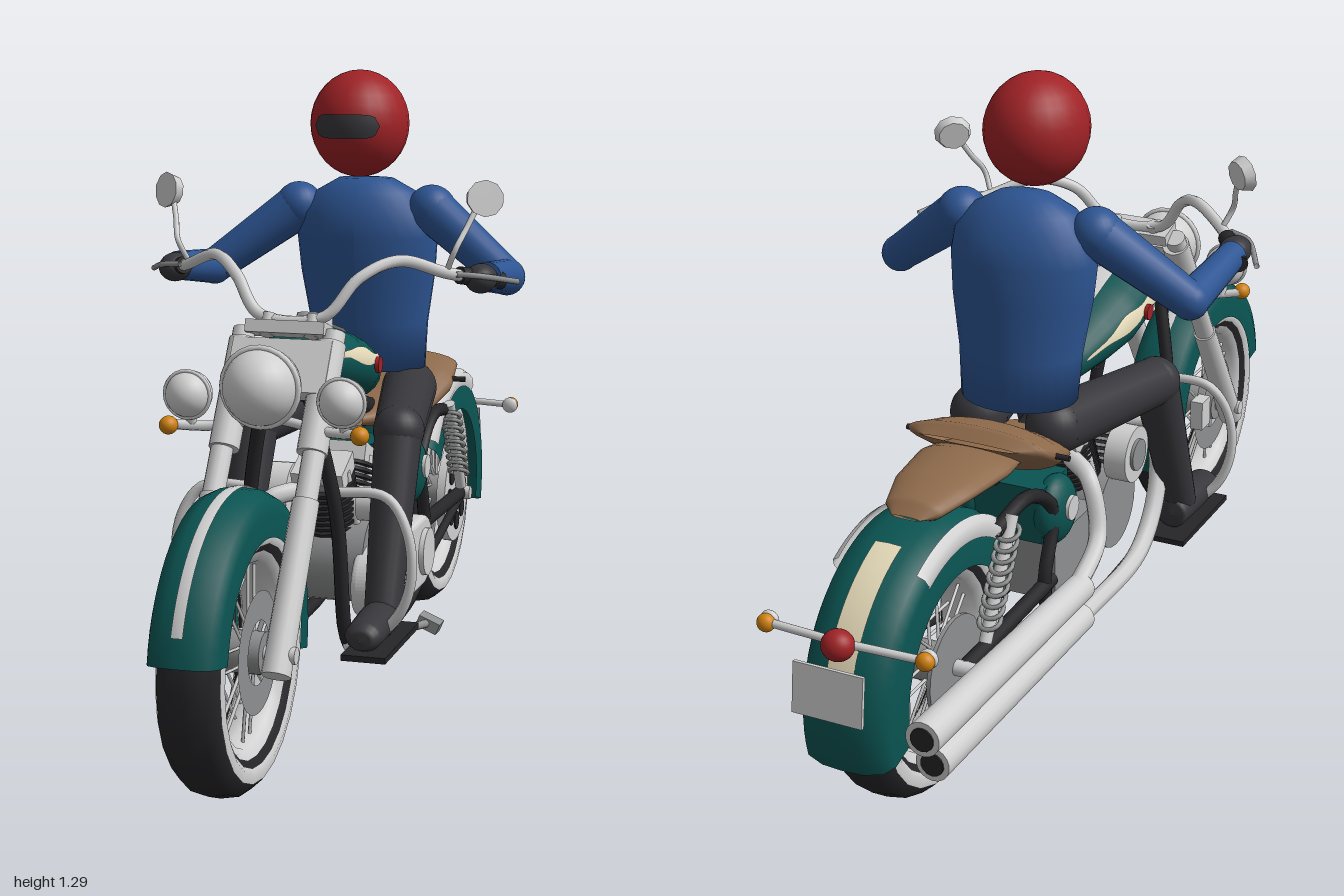
import * as THREE from 'three';
import { mergeVertices } from 'three/addons/utils/BufferGeometryUtils.js';

const V = (x, y, z) => new THREE.Vector3(x, y, z);
const mat = (name, color) => {
  const m = new THREE.MeshStandardMaterial({ color, side: THREE.DoubleSide });
  m.name = name;
  return m;
};

export function createModel() {
  const root = new THREE.Group();
  root.name = 'motorcycleWithRider';
  const teal = mat('tealPaint', 0x0a5452), red = mat('red', 0xa02226), blue = mat('blueJacket', 0x2d5593),
    dark = mat('darkCloth', 0x37363b), black = mat('black', 0x262629), chrome = mat('chrome', 0xd0d0d0),
    cream = mat('cream', 0xe4d9b8), brown = mat('brownLeather', 0x8e6a4b), amber = mat('amber', 0xd08210),
    grey = mat('greyMetal', 0x8e8f90);

  // ---- helpers ----
  const add = (name, geo, m, x = 0, y = 0, z = 0, rx = 0, ry = 0, rz = 0) => {
    const mesh = new THREE.Mesh(geo, m);
    mesh.name = name;
    mesh.position.set(x, y, z);
    mesh.rotation.set(rx, ry, rz);
    root.add(mesh);
    return mesh;
  };
  const both = (fn) => [1, -1].forEach(fn);
  const box = (n, m, sx, sy, sz, ...p) => add(n, new THREE.BoxGeometry(sx, sy, sz), m, ...p);
  const ball = (n, m, rx, ry, rz, x, y, z) => {
    const s = add(n, new THREE.SphereGeometry(1, 24, 16), m, x, y, z);
    s.scale.set(rx, ry, rz);
    return s;
  };
  // round disc whose axis runs along x
  const disc = (n, m, r, w, x, y, z, seg = 24) =>
    add(n, new THREE.CylinderGeometry(r, r, w, seg), m, x, y, z, 0, 0, Math.PI / 2);
  // tapered rod between two points
  const rod = (n, m, a, b, r1, r2 = r1, seg = 14) => {
    const d = b.clone().sub(a), mid = a.clone().add(b).multiplyScalar(0.5);
    const s = add(n, new THREE.CylinderGeometry(r2, r1, d.length(), seg), m, mid.x, mid.y, mid.z);
    s.quaternion.setFromUnitVectors(V(0, 1, 0), d.normalize());
    return s;
  };
  const tube = (n, m, pts, r, seg = 36) => add(n,
    new THREE.TubeGeometry(new THREE.CatmullRomCurve3(pts.map((p) => V(...p)), false, 'centripetal'), seg, r, 8), m);
  // surface from a rule f(u, v), u and v in 0..1
  const grid = (n, m, nu, nv, f) => {
    const pos = [], idx = [], w = nv + 1;
    for (let i = 0; i <= nu; i++) for (let j = 0; j <= nv; j++) pos.push(...f(i / nu, j / nv));
    for (let i = 0; i < nu; i++) for (let j = 0; j < nv; j++) {
      const a = i * w + j;
      idx.push(a, a + 1, a + w, a + 1, a + w + 1, a + w);
    }
    let g = new THREE.BufferGeometry();
    g.setAttribute('position', new THREE.Float32BufferAttribute(pos, 3));
    g.setIndex(idx);
    g = mergeVertices(g, 1e-5);
    g.computeVertexNormals();
    return add(n, g, m);
  };
  const mix = (rows, t) => {
    const f = Math.min(t * (rows.length - 1), rows.length - 1.0001), i = Math.floor(f);
    return rows[i].map((v, k) => v + (rows[i + 1][k] - v) * (f - i));
  };
  // loft along z through rows of [z, y, half width, half height]
  const loft = (n, m, rows, nu, a0 = () => 0, a1 = () => Math.PI * 2, grow = 0) => grid(n, m, nu, 24, (u, v) => {
    const [z, y, w, h] = mix(rows, u), a = a0(u) + (a1(u) - a0(u)) * v;
    return [Math.cos(a) * (w + grow), y + Math.sin(a) * (h + grow), z];
  });
  // profile of [x, radius] swept round a wheel centre, angles in degrees
  const arc = (n, m, cz, profile, d0, d1) => grid(n, m, 28, profile.length - 1, (u, v) => {
    const [x, r] = profile[Math.round(v * (profile.length - 1))], a = THREE.MathUtils.degToRad(d0 + (d1 - d0) * u);
    return [x, 0.27 + r * Math.sin(a), cz + r * Math.cos(a)];
  });
  const FZ = 0.718, RZ = -0.66;

  // ---- wheels ----
  const ring = (n, m, pts, z) => add(n,
    new THREE.LatheGeometry(pts.map((p) => new THREE.Vector2(...p)), 24), m, 0, 0.265, z, 0, 0, Math.PI / 2);
  for (const [n, z, w] of [['front', FZ, 0.06], ['rear', RZ, 0.065]]) {
    ring(n + 'Tire', black, [[0.19, -w * 0.75], [0.215, -w], [0.238, -w * 0.95], [0.258, -w * 0.6], [0.265, 0],
      [0.258, w * 0.6], [0.238, w * 0.95], [0.215, w], [0.19, w * 0.75]], z);
    both((s) => ring(n + 'Whitewall', chrome, [[0.205, s * w * 0.95], [0.216, s * (w + 0.003)], [0.234, s * w]], z));
    ring(n + 'Rim', chrome, [[0.192, -w * 0.78], [0.172, -w * 0.6], [0.165, 0], [0.172, w * 0.6], [0.192, w * 0.78]], z);
    disc(n + 'Hub', grey, 0.04, 0.13, 0, 0.27, z);
    disc(n + 'Axle', chrome, 0.016, 0.25, 0, 0.27, z);
    for (let i = 0; i < 28; i++) {
      const a = i * Math.PI / 14, b = a + (i % 2 ? 0.35 : -0.35), s = i % 4 < 2 ? 1 : -1;
      rod(n + 'Spoke', chrome, V(s * 0.035, 0.27 + 0.038 * Math.sin(b), z + 0.038 * Math.cos(b)),
        V(s * 0.02, 0.267 + 0.172 * Math.sin(a), z + 0.172 * Math.cos(a)), 0.0035, 0.0035, 5);
    }
  }
  both((s) => {
    add('frontBrakeDisc', new THREE.RingGeometry(0.06, 0.115, 28), grey, s * 0.052, 0.27, FZ, 0, Math.PI / 2, 0);
    box('frontBrakeCaliper', chrome, 0.03, 0.07, 0.05, s * 0.065, 0.29, FZ - 0.11);
  });
  // belt pulley with dark openings, brake disc opposite
  disc('rearPulley', chrome, 0.118, 0.02, 0.08, 0.27, RZ, 32);
  for (let i = 0; i < 8; i++) {
    const a = i * Math.PI / 4;
    disc('pulleyOpening', black, 0.022, 0.004, 0.091, 0.27 + 0.07 * Math.sin(a), RZ + 0.07 * Math.cos(a), 10);
  }
  disc('rearBrakeDisc', grey, 0.105, 0.008, -0.08, 0.27, RZ);

  // ---- fenders ----
  const fender = (w, r, rIn) => [[-w, rIn], [-w, r - 0.04], [-w * 0.85, r - 0.015], [-w * 0.45, r - 0.002], [0, r],
    [w * 0.45, r - 0.002], [w * 0.85, r - 0.015], [w, r - 0.04], [w, rIn]];
  const strip = (w, r) => [[-w, r], [0, r + 0.002], [w, r]];
  arc('frontFender', teal, FZ, fender(0.066, 0.3, 0.212), 10, 194);
  arc('frontFenderStripe', chrome, FZ, strip(0.011, 0.302), 20, 130);
  arc('rearFender', teal, RZ, fender(0.093, 0.303, 0.2), 33, 196);
  arc('rearFenderStripe', cream, RZ, strip(0.028, 0.304), 108, 160);
  both((s) => arc('fenderRail', chrome, RZ, [[s * 0.096, 0.255], [s * 0.1, 0.27], [s * 0.096, 0.288], [s * 0.082, 0.297]], 36, 118));

  // ---- fuel tank ----
  const tank = [[0.35, 0.74, 0.002, 0.002], [0.335, 0.742, 0.06, 0.045], [0.28, 0.74, 0.095, 0.068], [0.2, 0.722, 0.115, 0.078],
    [0.12, 0.702, 0.115, 0.077], [0.04, 0.68, 0.095, 0.066], [-0.04, 0.652, 0.062, 0.045], [-0.09, 0.635, 0.002, 0.01]];
  loft('fuelTank', teal, tank, 35);
  both((s) => {
    const side = (a) => (s > 0 ? a : Math.PI - a), sec = tank.slice(1, 7);
    const spread = (u) => 0.26 * Math.sqrt(Math.max(0, Math.sin(Math.PI * u))) * (0.75 + 0.25 * Math.cos(u * 18));
    loft('tankPanel', cream, sec, 40, (u) => side(0.22 - spread(u)), (u) => side(0.22 + spread(u)), 0.004);
    disc('tankBadge', red, 0.017, 0.008, s * 0.122, 0.715, 0.155, 16);
  });
  loft('tankConsole', chrome, tank.slice(2, 7), 20, () => 1.25, () => 1.89, 0.006);
  add('fuelCap', new THREE.CylinderGeometry(0.036, 0.038, 0.025, 20), chrome, 0, 0.808, 0.2, -0.25);

  // ---- seat ----
  loft('saddle', brown, [[-0.12, 0.54, 0.01, 0.01], [-0.17, 0.545, 0.07, 0.025], [-0.25, 0.555, 0.13, 0.035],
    [-0.34, 0.59, 0.155, 0.05], [-0.41, 0.625, 0.15, 0.032], [-0.44, 0.63, 0.1, 0.004]], 20);
  loft('pillion', brown, [[-0.38, 0.59, 0.09, 0.02], [-0.46, 0.597, 0.1, 0.032], [-0.58, 0.597, 0.085, 0.027],
    [-0.66, 0.588, 0.06, 0.022], [-0.69, 0.582, 0.03, 0.003]], 16);
  rod('seatBar', black, V(-0.18, 0.6, -0.36), V(0.18, 0.6, -0.36), 0.006);

  // ---- frame, forks and guards ----
  rod('backbone', black, V(0, 0.7, 0.37), V(0, 0.52, -0.35), 0.022);
  both((s) => {
    tube('frameRail', black, [[s * 0.04, 0.72, 0.39], [s * 0.09, 0.45, 0.35], [s * 0.1, 0.2, 0.32], [s * 0.1, 0.155, 0.26],
      [s * 0.1, 0.155, -0.25], [s * 0.1, 0.28, -0.31], [s * 0.1, 0.43, -0.27], [s * 0.1, 0.51, -0.38], [s * 0.1, 0.5, -0.52]], 0.015, 60);
    rod('swingArm', black, V(s * 0.1, 0.28, -0.28), V(s * 0.1, 0.27, RZ), 0.016);
    rod('swingArmBrace', black, V(s * 0.1, 0.17, -0.26), V(s * 0.1, 0.26, RZ), 0.01);
    rod('shockBody', chrome, V(s * 0.115, 0.52, -0.48), V(s * 0.115, 0.3, -0.6), 0.013);
    for (let i = 0; i < 9; i++) {
      const coil = add('shockCoil', new THREE.TorusGeometry(0.022, 0.005, 6, 14), grey, s * 0.115, 0.49 - i * 0.019, -0.496 - i * 0.0104);
      coil.rotation.x = Math.PI / 2 - 0.5;
    }
    rod('forkLower', chrome, V(s * 0.092, 0.235, FZ + 0.022), V(s * 0.092, 0.52, 0.555), 0.028, 0.026);
    rod('forkUpper', chrome, V(s * 0.092, 0.5, 0.568), V(s * 0.092, 0.81, 0.366), 0.022);
    rod('forkCover', chrome, V(s * 0.088, 0.6, 0.503), V(s * 0.088, 0.79, 0.379), 0.03);
    tube('engineGuard', chrome, [[s * 0.08, 0.49, 0.34], [s * 0.19, 0.485, 0.34], [s * 0.235, 0.42, 0.35], [s * 0.242, 0.32, 0.35],
      [s * 0.205, 0.235, 0.34], [s * 0.1, 0.165, 0.31]], 0.011);
    box('floorboard', black, 0.09, 0.012, 0.26, s * 0.165, 0.178, 0.29);
  });
  box('forkYoke', chrome, 0.2, 0.11, 0.04, 0, 0.745, 0.42, -0.58);
  box('topClamp', chrome, 0.16, 0.025, 0.06, 0, 0.815, 0.37, -0.3);

  // ---- lamps ----
  const lamp = (n, r, x, y, z, depth) => {
    ball(n + 'Shell', chrome, r, r, depth, x, y, z);
    add(n + 'Rim', new THREE.TorusGeometry(r, r * 0.1, 8, 24), chrome, x, y, z + 0.01);
    add(n + 'Lens', new THREE.SphereGeometry(r * 0.93, 20, 8, 0, Math.PI * 2, 0, Math.PI / 2), chrome, x, y, z + 0.012, Math.PI / 2)
      .scale.y = 0.35;
  };
  lamp('headlight', 0.074, 0, 0.73, 0.535, 0.085);
  tube('lampBar', chrome, [[-0.19, 0.645, 0.52], [-0.12, 0.64, 0.49], [0, 0.655, 0.47], [0.12, 0.64, 0.49], [0.19, 0.645, 0.52]], 0.01);
  both((s) => {
    lamp('spotLamp', 0.045, s * 0.153, 0.705, 0.515, 0.05);
    rod('spotLampStem', chrome, V(s * 0.153, 0.64, 0.5), V(s * 0.153, 0.68, 0.51), 0.01);
    ball('frontSignal', amber, 0.018, 0.018, 0.02, s * 0.19, 0.645, 0.53);
    rod('rearSignalStem', chrome, V(0, 0.445, -0.935), V(s * 0.16, 0.44, -0.92), 0.008);
    ball('rearSignalShell', chrome, 0.019, 0.019, 0.012, s * 0.165, 0.44, -0.91);
    ball('rearSignal', amber, 0.018, 0.018, 0.016, s * 0.165, 0.44, -0.923);
  });
  ball('tailLight', red, 0.032, 0.03, 0.03, 0, 0.445, -0.945);
  box('numberPlate', chrome, 0.145, 0.1, 0.008, 0, 0.365, -0.985, 0.12);
  box('plateBracket', black, 0.04, 0.03, 0.04, 0, 0.37, -0.965);

  // ---- handlebar ----
  tube('handlebar', chrome, [[-0.34, 0.888, 0.1], [-0.27, 0.912, 0.19], [-0.19, 0.94, 0.25], [-0.125, 0.91, 0.315], [-0.065, 0.838, 0.35],
    [0.065, 0.838, 0.35], [0.125, 0.91, 0.315], [0.19, 0.94, 0.25], [0.27, 0.912, 0.19], [0.34, 0.888, 0.1]], 0.012, 80);
  both((s) => {
    rod('riser', chrome, V(s * 0.045, 0.8, 0.37), V(s * 0.045, 0.84, 0.35), 0.014);
    rod('grip', black, V(s * 0.29, 0.905, 0.165), V(s * 0.355, 0.885, 0.075), 0.018);
    tube('lever', grey, [[s * 0.29, 0.91, 0.19], [s * 0.335, 0.905, 0.17], [s * 0.39, 0.885, 0.08]], 0.006);
    tube('mirrorStem', chrome, [[s * 0.27, 0.915, 0.19], [s * 0.29, 0.96, 0.2], [s * 0.305, 1.0, 0.17], [s * 0.32, 1.04, 0.145]], 0.006);
    const g = add('mirror', new THREE.CylinderGeometry(0.037, 0.03, 0.022, 10), chrome, s * 0.33, 1.055, 0.135, 1.4, 0, s * -0.65);
    g.scale.x = 1.1;
  });

  // ---- engine ----
  disc('crankcase', grey, 0.095, 0.18, 0, 0.29, 0.07);
  box('gearbox', grey, 0.17, 0.14, 0.2, 0, 0.27, -0.13);
  for (const t of [0.42, -0.42]) {
    const at = (d) => V(0, 0.3 + d * Math.cos(t), 0.06 + d * Math.sin(t));
    for (let i = 0; i < 8; i++) rod('cylinderFin', black, at(0.08 + i * 0.014), at(0.087 + i * 0.014), 0.066, 0.066, 18);
    rod('cylinderBarrel', grey, at(0.04), at(0.2), 0.05);
    const head = at(0.205);
    box('rockerCover', chrome, 0.11, 0.04, 0.09, 0, head.y, head.z, t);
    both((s) => rod('pushrodTube', chrome, V(s * 0.07, 0.31, 0.06 + t * 0.08), V(s * 0.05, head.y, head.z), 0.009));
  }
  // rounded primary cover on the left
  const cover = (r, l, d) => {
    const sh = new THREE.Shape();
    sh.absarc(l, 0, r, -Math.PI / 2, Math.PI / 2);
    sh.absarc(-l, 0, r * 0.95, Math.PI / 2, Math.PI * 1.5);
    return new THREE.ExtrudeGeometry(sh, { depth: d, bevelSize: 0.01, bevelThickness: 0.012, bevelSegments: 3, curveSegments: 16 });
  };
  add('primaryCover', cover(0.068, 0.14, 0.045), chrome, 0.085, 0.253, -0.015, 0, Math.PI / 2, 0);
  disc('clutchCover', chrome, 0.052, 0.012, 0.147, 0.253, -0.15);
  box('primarySlot', black, 0.006, 0.014, 0.035, 0.144, 0.265, 0.0);
  disc('hornCover', chrome, 0.036, 0.05, 0.1, 0.42, 0.13);
  disc('airCleaner', chrome, 0.062, 0.05, -0.11, 0.42, 0.07);
  disc('airCleanerCap', grey, 0.035, 0.008, -0.138, 0.42, 0.07);
  both((s) => {
    ball('sideCover', teal, 0.04, 0.075, 0.068, s * 0.085, 0.415, -0.23);
    disc('sideCoverBadge', chrome, 0.026, 0.008, s * 0.124, 0.425, -0.23);
  });
  box('oilTank', teal, 0.17, 0.12, 0.12, 0, 0.42, -0.23);

  // ---- exhaust on the right ----
  tube('frontHeader', chrome, [[-0.04, 0.45, 0.17], [-0.1, 0.43, 0.22], [-0.13, 0.32, 0.2], [-0.145, 0.2, 0.08], [-0.15, 0.185, -0.25]], 0.02);
  tube('rearHeader', chrome, [[-0.04, 0.45, -0.06], [-0.1, 0.43, -0.1], [-0.14, 0.32, -0.14], [-0.15, 0.255, -0.28]], 0.02);
  for (const [y0, y1, z1] of [[0.185, 0.2, -0.88], [0.255, 0.272, -0.915]]) {
    rod('muffler', chrome, V(-0.15, y0, -0.24), V(-0.15, y1, z1), 0.03, 0.035, 18);
    rod('mufflerBore', black, V(-0.15, y1, z1), V(-0.15, y1, z1 - 0.003), 0.024);
  }
  rod('sideStand', grey, V(0.11, 0.155, 0.22), V(0.15, 0.095, -0.13), 0.009);
  box('sideStandFoot', grey, 0.05, 0.025, 0.04, 0.155, 0.092, -0.15, 0, 0, -0.4);

  // ---- rider ----
  const torso = new THREE.LatheGeometry([[0, 0.65], [0.122, 0.65], [0.13, 0.75], [0.148, 0.86], [0.155, 0.94], [0.148, 0.99],
    [0.11, 1.035], [0.06, 1.063], [0, 1.065]].map((p) => new THREE.Vector2(...p)), 28);
  const p = torso.attributes.position;
  for (let i = 0; i < p.count; i++) {
    const t = (1.065 - p.getY(i)) / 0.415;
    p.setZ(i, p.getZ(i) * (0.62 + 0.22 * t) - 0.18 - 0.035 * t);
  }
  torso.computeVertexNormals();
  add('torso', torso, blue);
  both((s) => {
    const sh = V(s * 0.148, 1.0, -0.17), el = V(s * 0.325, 0.868, -0.115), hand = V(s * 0.33, 0.895, 0.1);
    ball('shoulder', blue, 0.052, 0.052, 0.052, sh.x, sh.y, sh.z);
    rod('upperArm', blue, sh, el, 0.05, 0.038, 20);
    ball('elbow', blue, 0.039, 0.039, 0.039, el.x, el.y, el.z);
    rod('forearm', blue, el, hand, 0.038, 0.03, 20);
    ball('glove', dark, 0.033, 0.03, 0.042, s * 0.325, 0.895, 0.125);
    const hip = V(s * 0.085, 0.6, -0.23), knee = V(s * 0.155, 0.575, 0.12), ankle = V(s * 0.16, 0.235, 0.255);
    ball('hip', dark, 0.06, 0.06, 0.06, hip.x, hip.y, hip.z);
    rod('thigh', dark, hip, knee, 0.06, 0.052, 20);
    ball('knee', dark, 0.053, 0.053, 0.053, knee.x, knee.y, knee.z);
    rod('shin', dark, knee, ankle, 0.05, 0.038, 20);
    loft('boot', dark, [[0.205, 0.222, 0.002, 0.002], [0.21, 0.222, 0.036, 0.034], [0.3, 0.222, 0.04, 0.036],
      [0.4, 0.218, 0.038, 0.03], [0.42, 0.215, 0.025, 0.02], [0.422, 0.215, 0.002, 0.002]], 20).position.x = s * 0.16;
  });
  ball('helmet', red, 0.104, 0.113, 0.12, 0, 1.182, -0.13);
  grid('visor', dark, 16, 4, (u, v) => {
    const k = u * 2 - 1, az = k * 0.72, e = (v - 0.5) * 0.44 * Math.sqrt(Math.max(0, 1 - k ** 6));
    return [0.106 * Math.sin(az) * Math.cos(e), 1.182 + 0.115 * Math.sin(e), -0.13 + 0.125 * Math.cos(az) * Math.cos(e)];
  });
  return root;
}
